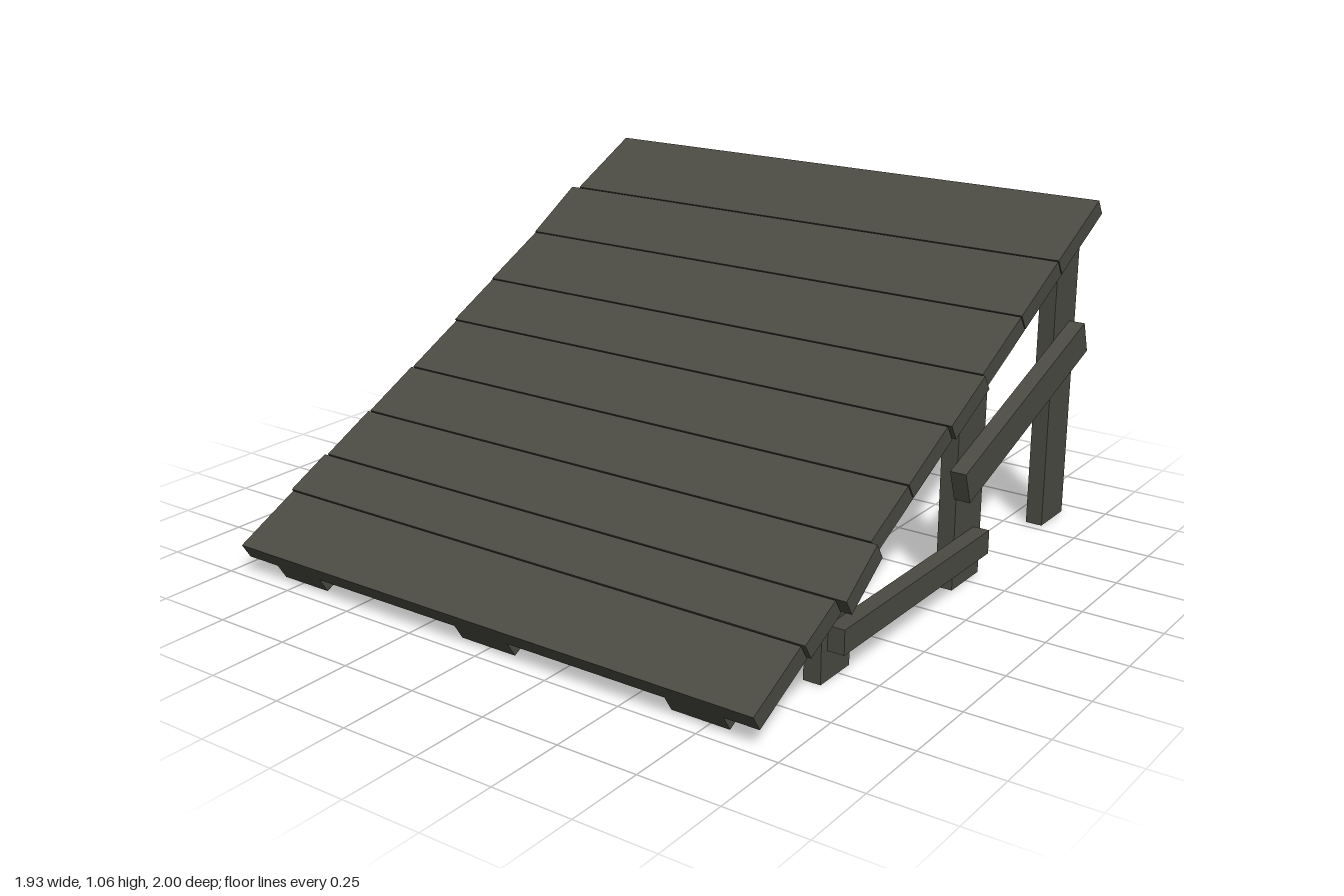
import * as THREE from 'three';

const SLOPE = 0.495;
const PLY = { y: 0.0475, z: 0.03 }; // offset of one layer down through the deck
const deckY = z => 0.1 + SLOPE * (1 - z);

// Box whose corners are moved by a rule taking corner signs (-1 / +1)
function warpedBox(name, material, rule) {
  let geo = new THREE.BoxGeometry(2, 2, 2);
  const p = geo.attributes.position;
  for (let i = 0; i < p.count; i++) {
    p.setXYZ(i, ...rule(p.getX(i) > 0, p.getY(i) > 0, p.getZ(i) > 0));
  }
  geo = geo.toNonIndexed();
  geo.computeVertexNormals();
  const mesh = new THREE.Mesh(geo, material);
  mesh.name = name;
  return mesh;
}

export function createModel() {
  const model = new THREE.Group();
  model.name = 'slopedPlatform';
  const wood = new THREE.MeshStandardMaterial({ color: 0x4b4b43 });
  wood.name = 'weatheredWood';

  // Board lying on the slope: x limits at front and back, z range, layer number
  const slopeBoard = (name, front, back, zf, zb, layer) =>
    model.add(warpedBox(name, wood, (right, top, near) => {
      const z = near ? zf : zb;
      const d = top ? layer : layer + 1;
      return [(near ? front : back)[right ? 1 : 0], deckY(z) - PLY.y * d, z - PLY.z * d];
    }));

  // Deck planks: front z, back z, x limits at front, x limits at back
  const planks = [
    [1.0, 0.78, [-0.94, 0.925]],
    [0.78, 0.63, [-0.95, 0.935]],
    [0.63, 0.44, [-0.94, 0.965], [-0.94, 0.947]],
    [0.44, 0.24, [-0.935, 0.925]],
    [0.24, 0.02, [-0.93, 0.925]],
    [0.02, -0.18, [-0.94, 0.935]],
    [-0.18, -0.42, [-0.945, 0.925]],
    [-0.42, -0.66, [-0.95, 0.925], [-0.97, 0.925]],
    [-0.66, -0.94, [-0.94, 0.925]],
  ];
  planks.forEach(([zf, zb, front, back = front], i) => {
    const gap = 0.002;
    slopeBoard('plank' + (i + 1), front, back, i ? zf - gap : zf, i < 8 ? zb + gap : zb, 0);
  });

  // Three joists beneath the planks
  [[-0.82, -0.64], [-0.1, 0.095], [0.63, 0.815]].forEach((x, i) =>
    slopeBoard('joist' + (i + 1), x, x, 1, -0.94, 1));

  // Upright legs, tops cut to the slope
  const leg = (name, side, zf, zb) =>
    model.add(warpedBox(name, wood, (right, top, near) => {
      const z = near ? zf : zb;
      const x = side > 0 ? (right ? 0.87 : 0.815) : (right ? -0.82 : -0.878);
      return [x, top ? deckY(z) - 0.063 : 0, z];
    }));
  leg('leftFrontLeg', 1, 0.59, 0.44);
  leg('leftMiddleLeg', 1, -0.16, -0.33);
  leg('leftRearLeg', 1, -0.785, -0.94);
  leg('rightFrontLeg', -1, 0.605, 0.44);
  leg('rightMiddleLeg', -1, -0.052, -0.21);
  leg('rightRearLeg', -1, -0.785, -0.94);

  // Braces nailed to the outside of the legs, given by centre-line ends (z, y)
  const brace = (name, side, [z0, y0], [z1, y1], width) => {
    const length = Math.hypot(z1 - z0, y1 - y0);
    const mesh = new THREE.Mesh(new THREE.BoxGeometry(0.052, width, length), wood);
    mesh.name = name;
    mesh.position.set(side * 0.897, (y0 + y1) / 2, (z0 + z1) / 2);
    mesh.rotation.x = Math.atan2(y1 - y0, z0 - z1);
    model.add(mesh);
  };
  brace('leftFrontBrace', 1, [0.56, 0.128], [-0.285, 0.128], 0.075);
  brace('leftRearBrace', 1, [-0.128, 0.348], [-0.915, 0.62], 0.105);
  brace('rightFrontBrace', -1, [0.56, 0.108], [-0.2, 0.25], 0.08);
  brace('rightRearBrace', -1, [-0.12, 0.412], [-0.92, 0.172], 0.095);

  return model;
}
